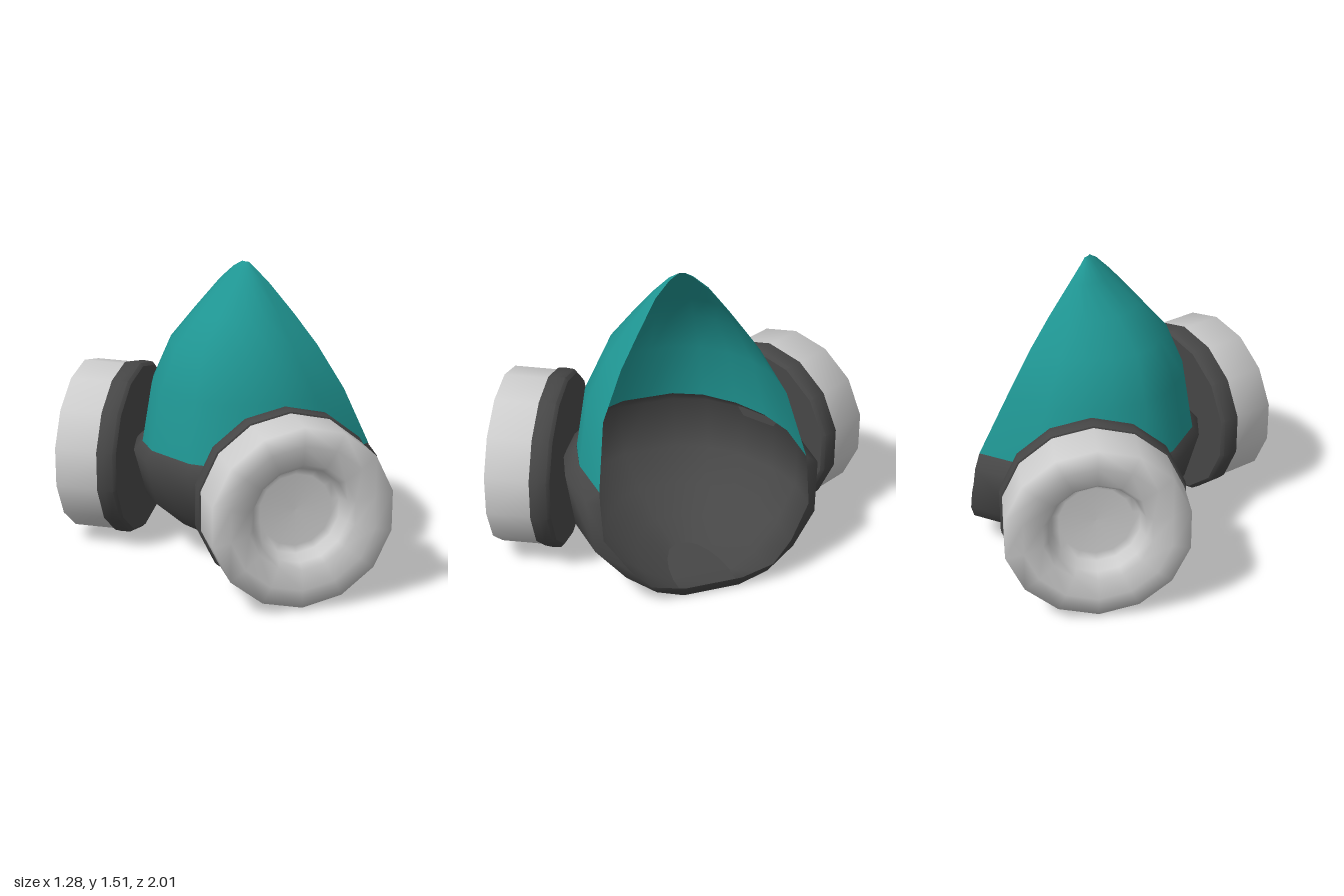
import * as THREE from 'three';
import { toCreasedNormals } from 'three/addons/utils/BufferGeometryUtils.js';

const material = (color) => new THREE.MeshStandardMaterial({ color, side: THREE.DoubleSide });

// Surface through rows of points
function grid(rows) {
  const n = rows[0].length, index = [];
  for (let r = 0; r < rows.length - 1; r++) {
    for (let i = 0; i < n - 1; i++) {
      const a = r * n + i, c = a + n;
      index.push(a, a + 1, c, a + 1, c + 1, c);
    }
  }
  const geo = new THREE.BufferGeometry();
  geo.setAttribute('position', new THREE.Float32BufferAttribute(rows.flat(2), 3));
  geo.setIndex(index);
  geo.computeVertexNormals();
  return geo;
}

// Half outline of the mask in plan: 0..1 from nose to rim, 0..1 of the half width
const plan = [[1, 0.97], [0.68, 1], [0.45, 0.92], [0.25, 0.76], [0.08, 0.52], [0, 0.25], [0, 0]];

const mirrored = (half) => [...half, ...half.slice(0, -1).reverse().map(([x, y, z]) => [x, y, -z])];

// One level of the mask, from the left rim round the nose to the right rim
function level(y, nose, rim, width, lip) {
  const half = plan.map(([u, v]) => [nose + u * (rim - nose), y, v * width]);
  if (lip) half.unshift(lip);
  return mirrored(half);
}

export function createModel() {
  const model = new THREE.Group();
  const teal = material(0x1f9592), dark = material(0x464646), grey = material(0xcccccc);
  const add = (parent, name, geo, mat) => {
    const mesh = new THREE.Mesh(geo, mat);
    mesh.name = name;
    parent.add(mesh);
  };

  // Upper shell, open towards the face
  add(model, 'upperShell', grid([
    level(1.507, 0.132, 0.14, 0.02),
    level(1.48, 0.09, 0.145, 0.065),
    level(1.41, 0.03, 0.17, 0.145),
    level(1.27, -0.11, 0.23, 0.255),
    level(1.12, -0.25, 0.288, 0.365),
    level(0.9, -0.33, 0.365, 0.485),
    level(0.6, -0.38, 0.49, 0.55),
  ]), teal);

  // Lower shell, hollow, with a narrow lip turned in along the rim
  const lower = [
    level(0.6, -0.38, 0.485, 0.55, [0.49, 0.6, 0.533]),
    level(0.55, -0.41, 0.48, 0.62, [0.503, 0.54, 0.535]),
    level(0.3, -0.34, 0.53, 0.59, [0.543, 0.36, 0.533]),
    level(0.16, -0.19, 0.59, 0.45, [0.6, 0.2, 0.42]),
    level(0.06, -0.03, 0.615, 0.3, [0.625, 0.1, 0.32]),
    level(0, 0.15, 0.6, 0.15, [0.632, 0.06, 0.15]),
  ];
  add(model, 'lowerShell', toCreasedNormals(grid(lower), 1.5), dark);

  // Underside joining both halves
  const bottom = lower[lower.length - 1];
  add(model, 'underside', grid([bottom.slice(0, 8), bottom.slice(7).reverse()]), dark);

  // Filters, one on each side, angled towards the nose
  const lathe = (profile) => new THREE.LatheGeometry(profile.map(([r, h]) => new THREE.Vector2(r, h)), 14);
  const holder = toCreasedNormals(lathe([[0, 0], [0.44, 0], [0.456, 0.015], [0.46, 0.06],
    [0.456, 0.1], [0.425, 0.105]]), 0.75);
  const cartridge = lathe([[0.448, 0.09], [0.45, 0.325], [0.36, 0.332], [0.265, 0.315],
    [0.237, 0.28], [0.215, 0.215], [0.18, 0.2], [0, 0.195]]);
  for (const s of [1, -1]) {
    const filter = new THREE.Group();
    filter.name = s > 0 ? 'frontFilter' : 'backFilter';
    filter.position.set(-0.105, 0.466, s * 0.508);
    filter.rotation.order = 'YXZ';
    filter.rotation.set(Math.PI / 2, s > 0 ? -0.512 : Math.PI + 0.512, 0);
    add(filter, 'filterHolder', holder, dark);
    add(filter, 'filterCartridge', cartridge, grey);
    model.add(filter);
  }
  return model;
}
